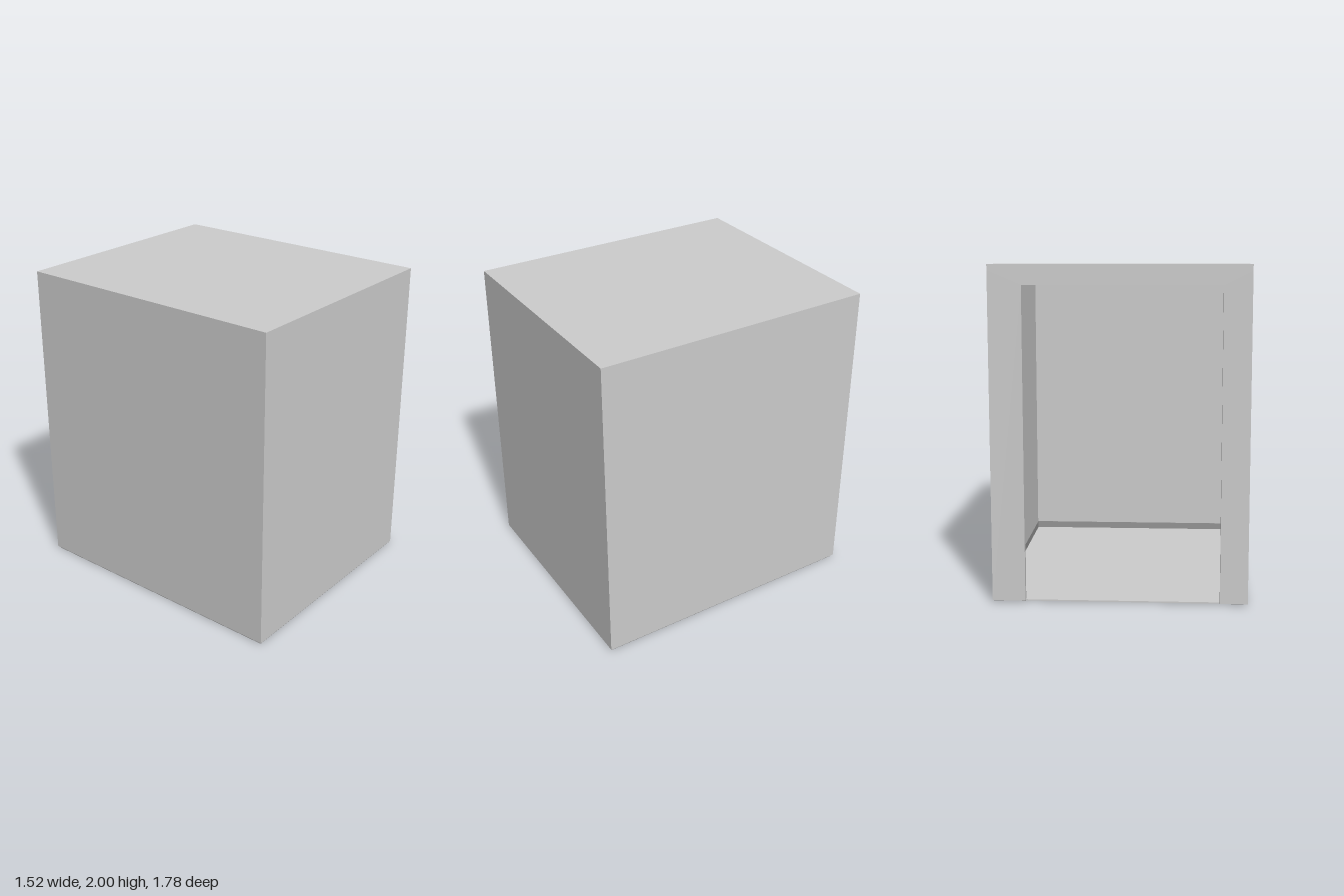
import * as THREE from 'three';

const W = 0.76, D = 0.89, H = 2;      // half width, half depth, height
const T = 0.036;                      // panel thickness
const LIFT = 0.008;                   // gap under the wall panels
const ROOF = H - T;                   // underside of the roof
const DOOR = { left: 0.563, right: -0.595, top: 1.88 };

const pale = new THREE.MeshStandardMaterial({ color: 0xcccccc });
const dark = new THREE.MeshStandardMaterial({ color: 0x949494 });

export function createModel() {
  const model = new THREE.Group();

  // Box given by its min and max corners
  function box(name, mat, [x0, y0, z0], [x1, y1, z1]) {
    const mesh = new THREE.Mesh(new THREE.BoxGeometry(x1 - x0, y1 - y0, z1 - z0), mat);
    mesh.position.set((x0 + x1) / 2, (y0 + y1) / 2, (z0 + z1) / 2);
    mesh.name = name;
    model.add(mesh);
  }

  // Roof, floor and the three closed walls
  box('roof', pale, [-W, ROOF, -D], [W, H, D]);
  box('floor', pale, [-W + T, 0.002, -0.87], [W - T, 0.01, D - T]);
  box('frontWall', pale, [-W, LIFT, D - T], [W, ROOF, D]);
  box('leftWall', pale, [W - T, LIFT, -D + T], [W, ROOF, D - T]);
  box('rightWall', pale, [-W, LIFT, -D + T], [-W + T, ROOF, D - T]);

  // Back wall with a doorway open to the floor
  const outline = new THREE.Shape([
    [-W, LIFT], [DOOR.right, LIFT], [DOOR.right, DOOR.top], [DOOR.left, DOOR.top],
    [DOOR.left, LIFT], [W, LIFT], [W, ROOF], [-W, ROOF],
  ].map(([x, y]) => new THREE.Vector2(x, y)));
  const backWall = new THREE.Mesh(
    new THREE.ExtrudeGeometry(outline, { depth: T, bevelEnabled: false }), pale);
  backWall.position.z = -D;
  backWall.name = 'backWall';
  model.add(backWall);

  // Dark base track under the walls, interrupted at the doorway
  const out = 0.005, inn = T + 0.002, top = 0.055;
  box('frontTrack', dark, [-W + out, 0, D - inn], [W - out, top, D - out]);
  box('leftTrack', dark, [W - inn, 0, -0.87], [W - out, top, D - inn]);
  box('rightTrack', dark, [-W + out, 0, -0.87], [-W + inn, top, D - inn]);
  box('backLeftTrack', dark, [DOOR.left, 0, -0.87], [W - inn, top, -D + inn]);
  box('backRightTrack', dark, [-W + inn, 0, -0.87], [DOOR.right, top, -D + inn]);

  // Dark flat border around the ceiling
  const ix = 0.54, iz = 0.69, y0 = ROOF - 0.003;
  for (const s of [-1, 1]) {
    const xs = [s * ix, s * (W - T)].sort((a, b) => a - b);
    const zs = [s * iz, s * (D - T)].sort((a, b) => a - b);
    box('ceilingSideBorder', dark, [xs[0], y0, -D + T], [xs[1], ROOF, D - T]);
    box('ceilingEndBorder', dark, [-ix, y0, zs[0]], [ix, ROOF, zs[1]]);
  }

  return model;
}
